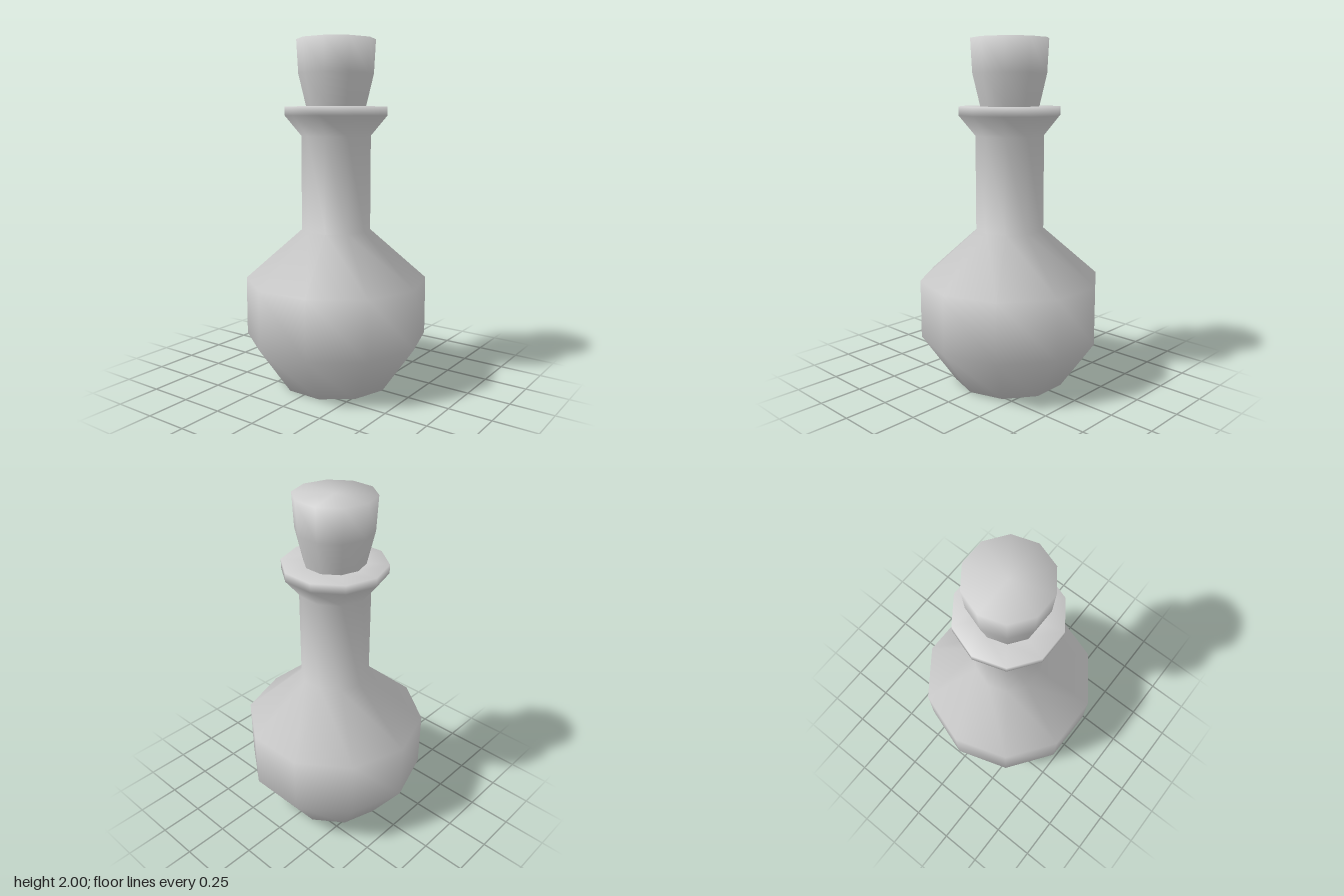
import * as THREE from 'three';

const SIDES = 10;
const material = new THREE.MeshStandardMaterial({ color: 0xcccccc });

// Ten-sided smooth-shaded lathe; profile points are [radius, height], bottom to top
function turned(name, profile) {
  const points = profile.map(([r, y]) => new THREE.Vector2(r, y));
  const mesh = new THREE.Mesh(new THREE.LatheGeometry(points, SIDES), material);
  mesh.name = name;
  return mesh;
}

export function createModel() {
  const model = new THREE.Group();
  model.name = 'stopperedFlask';

  // Flask: flat base, round belly, straight neck and flared lip
  model.add(turned('flask', [
    [0, 0],
    [0.33, 0],
    [0.53, 0.285],
    [0.53, 0.625],
    [0.2, 0.915],
    [0.2, 1.46],
    [0.295, 1.575],
    [0.295, 1.625],
    [0.17, 1.625],
  ]));

  // Tapered stopper set in the mouth
  model.add(turned('stopper', [
    [0.17, 1.62],
    [0.215, 1.81],
    [0.225, 2],
    [0, 2],
  ]));

  return model;
}
